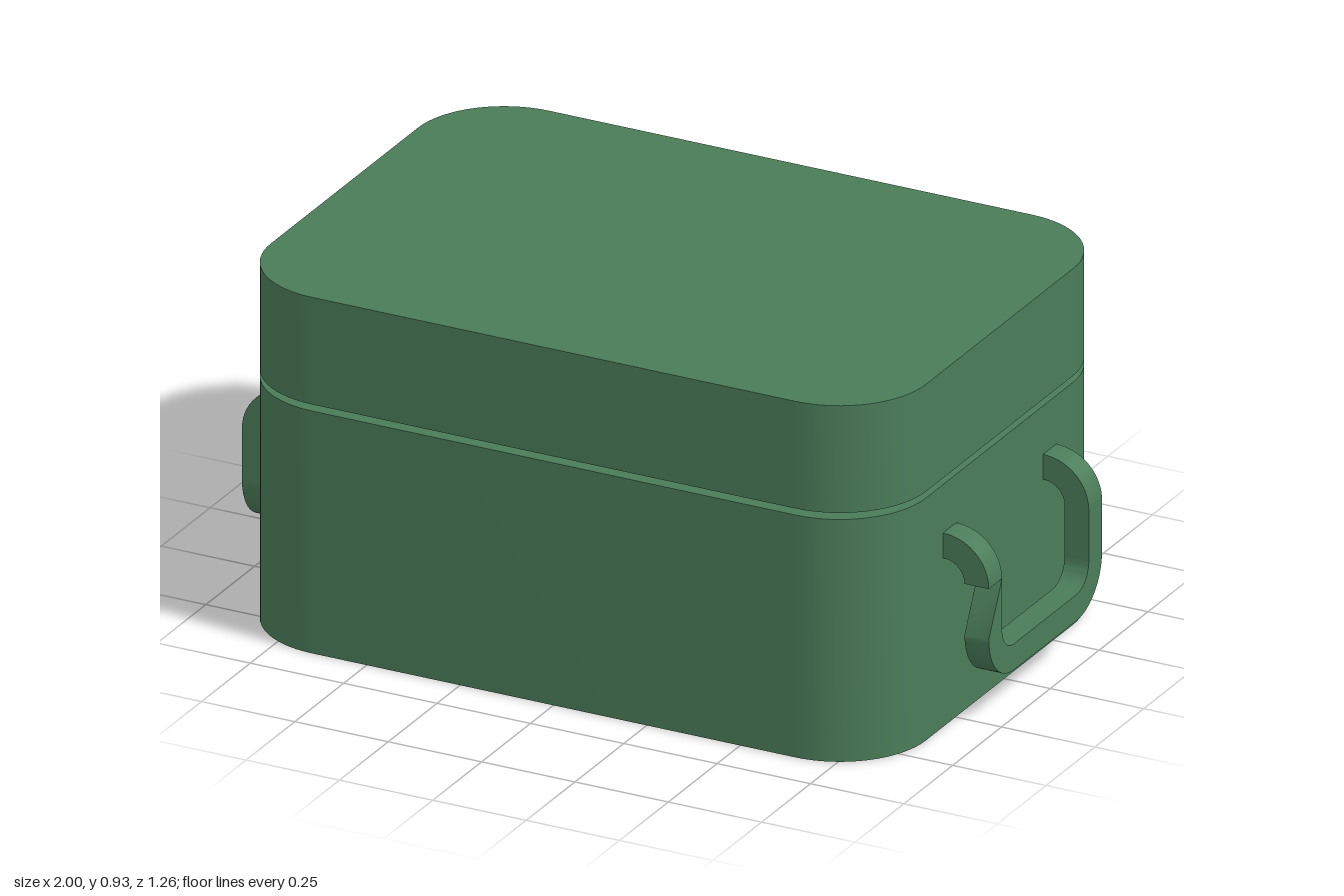
import * as THREE from 'three';
import { toCreasedNormals } from 'three/addons/utils/BufferGeometryUtils.js';

const CENTRE_Z = 0.025; // the box sits slightly forward, the hinges stick out behind

function extrude(shape, depth, curveSegments = 8) {
  const geo = new THREE.ExtrudeGeometry(shape, { depth, bevelEnabled: false, curveSegments });
  return toCreasedNormals(geo, 0.6);
}

function roundedRect(halfW, halfH, r) {
  const s = new THREE.Shape();
  s.moveTo(halfW, -halfH + r);
  s.absarc(halfW - r, halfH - r, r, 0, Math.PI / 2);
  s.absarc(-halfW + r, halfH - r, r, Math.PI / 2, Math.PI);
  s.absarc(-halfW + r, -halfH + r, r, Math.PI, Math.PI * 1.5);
  s.absarc(halfW - r, -halfH + r, r, Math.PI * 1.5, Math.PI * 2);
  return s;
}

export function createModel() {
  const model = new THREE.Group();
  model.name = 'hingedBox';
  const green = new THREE.MeshStandardMaterial({ color: 0x4a7c59 });
  green.name = 'green';

  const add = (parent, name, geo) => {
    const mesh = new THREE.Mesh(geo, green);
    mesh.name = name;
    parent.add(mesh);
    return mesh;
  };

  // Body and lid share one rounded footprint, with a narrow gap between
  const footprint = roundedRect(0.877, 0.607, 0.23);
  for (const [name, bottom, top] of [['body', 0, 0.631], ['lid', 0.648, 0.927]]) {
    const geo = extrude(footprint, top - bottom);
    geo.rotateX(-Math.PI / 2);
    geo.translate(0, bottom, CENTRE_Z);
    add(model, name, geo);
  }

  // Hinge barrels along the back edge
  for (const x of [-0.4, 0.405]) {
    const geo = new THREE.CylinderGeometry(0.05, 0.05, 0.25, 24);
    geo.rotateZ(Math.PI / 2);
    add(model, x > 0 ? 'leftHinge' : 'rightHinge', geo).position.set(x, 0.645, -0.582);
  }

  // Handle: flat U-shaped loop with two arms curving into the box
  const half = 0.29, bar = 0.068, thick = 0.065;
  const bendY = 0.385, lowY = 0.123, rOut = 0.13, rIn = rOut - bar;
  const inner = half - bar;

  const loop = new THREE.Shape();
  loop.moveTo(-half, bendY);
  loop.absarc(-half + rOut, lowY + rOut, rOut, Math.PI, Math.PI * 1.5);
  loop.absarc(half - rOut, lowY + rOut, rOut, Math.PI * 1.5, Math.PI * 2);
  loop.lineTo(half, bendY);
  loop.lineTo(inner, bendY);
  loop.absarc(inner - rIn, lowY + rOut, rIn, 0, -Math.PI / 2, true);
  loop.absarc(-inner + rIn, lowY + rOut, rIn, -Math.PI / 2, -Math.PI, true);
  loop.lineTo(-inner, bendY);
  const loopGeo = extrude(loop, thick, 10);
  loopGeo.rotateY(Math.PI / 2);
  loopGeo.translate(1 - thick, 0, 0);

  const elbow = new THREE.Shape();
  elbow.moveTo(1, bendY);
  elbow.absarc(0.88, bendY, 0.12, 0, Math.PI / 2);
  elbow.lineTo(0.87, bendY + 0.12);
  elbow.lineTo(0.87, bendY + 0.055);
  elbow.absarc(0.88, bendY, 0.055, Math.PI / 2, 0, true);
  const elbowGeo = extrude(elbow, bar, 10);

  for (const side of [1, -1]) {
    const handle = new THREE.Group();
    handle.name = side > 0 ? 'leftHandle' : 'rightHandle';
    add(handle, 'handleLoop', loopGeo);
    for (const z of [-half, inner]) add(handle, 'handleArm', elbowGeo).position.z = z;
    handle.position.z = CENTRE_Z;
    handle.rotation.y = side > 0 ? 0 : Math.PI;
    model.add(handle);
  }
  return model;
}
